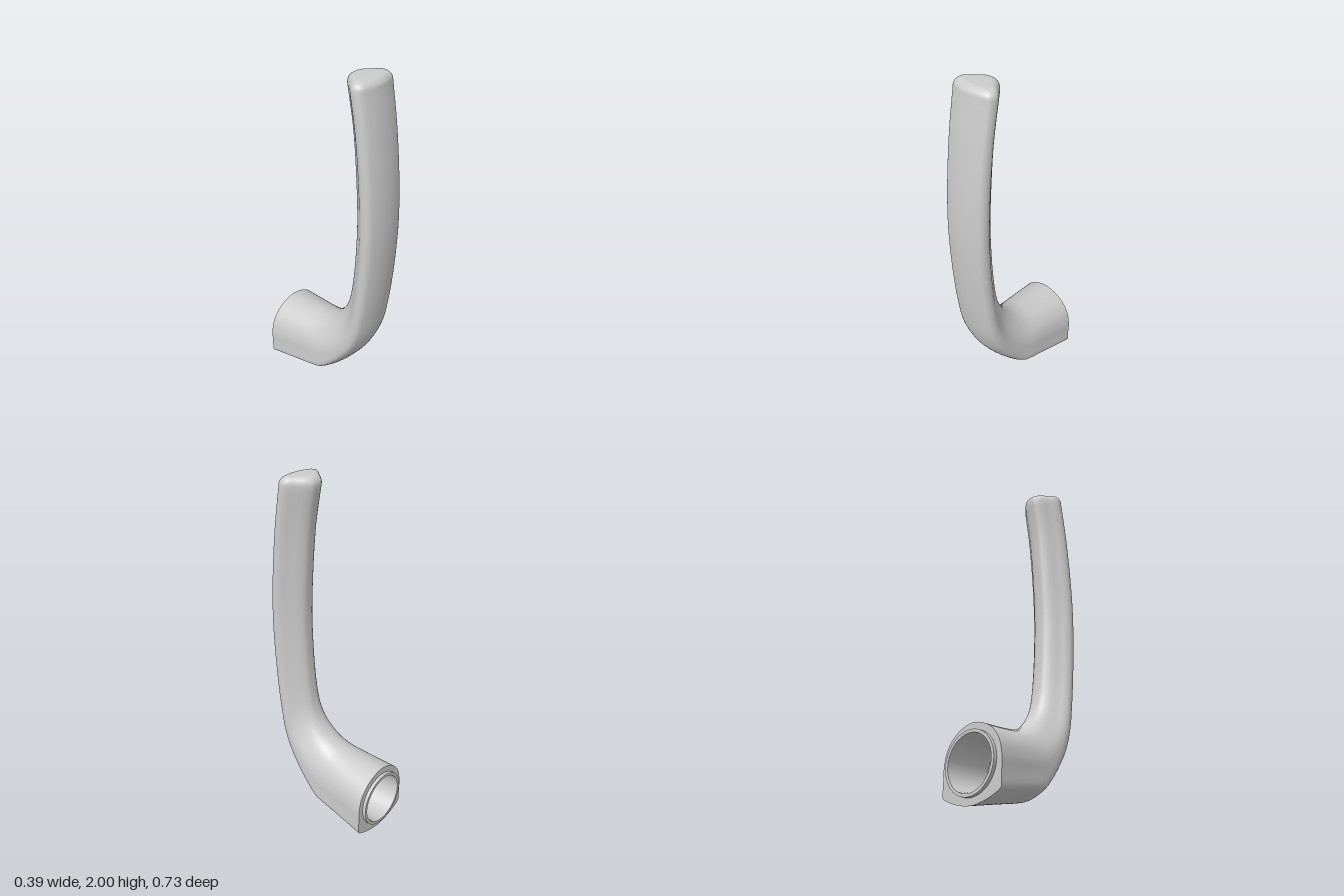
import * as THREE from 'three';
import { toCreasedNormals } from 'three/addons/utils/BufferGeometryUtils.js';

const V = (x, y, z = 0) => new THREE.Vector3(x, y, z);
const AROUND = 112, ALONG = 90, CAP = 8, CAP_RADIUS = 0.045;

// Half outlines [across, depth]: depth 0 is the inner/top edge, 1 the outer/bottom edge
const GRIP = [[0, 0], [0.2, 0.015], [0.42, 0.12], [0.73, 0.37], [0.93, 0.53],
  [1, 0.63], [0.985, 0.75], [0.9, 0.85], [0.5, 0.96], [0, 1]];
const SOCKET = [[0, 0], [0.38, 0.04], [0.71, 0.145], [0.92, 0.3], [1, 0.48],
  [1, 0.66], [1, 0.83], [0.98, 0.855], [0.6, 0.945], [0, 1]];

// Stations: outer z, y; inner z, y; half width; socket share of the outline
const STATIONS = [
  [-0.345, 0.002, -0.345, 0.405, 0.195, 1],
  [-0.17, 0.036, -0.2, 0.413, 0.18, 1],
  [0, 0.068, -0.1, 0.425, 0.168, 0.9],
  [0.04, 0.085, -0.04, 0.44, 0.163, 0.78],
  [0.09, 0.13, 0.02, 0.47, 0.158, 0.6],
  [0.16, 0.21, 0.075, 0.52, 0.152, 0.4],
  [0.24, 0.325, 0.115, 0.58, 0.147, 0.2],
  [0.295, 0.46, 0.142, 0.655, 0.142, 0.06],
  [0.325, 0.62, 0.157, 0.74, 0.139, 0],
  [0.345, 0.78, 0.168, 0.84, 0.137, 0],
  [0.36, 0.97, 0.178, 0.98, 0.136, 0],
  [0.367, 1.2, 0.184, 1.2, 0.136, 0],
  [0.355, 1.45, 0.172, 1.45, 0.135, 0],
  [0.325, 1.72, 0.147, 1.72, 0.134, 0],
  [0.287, 1.955, 0.103, 1.955, 0.133, 0],
];

// Closed unit outline blended between grip and socket
function outline(share) {
  const half = GRIP.map(([x, d], i) => V(
    THREE.MathUtils.lerp(x, SOCKET[i][0], share),
    THREE.MathUtils.lerp(d, SOCKET[i][1], share)));
  const other = half.slice(1, -1).reverse().map((p) => V(-p.x, p.y));
  const curve = new THREE.CatmullRomCurve3([...half, ...other], true, 'centripetal');
  return Array.from({ length: AROUND }, (_, i) => curve.getPoint(i / AROUND));
}

function section(outer, inner, halfWidth, share) {
  return outline(share).map((p) => {
    const q = inner.clone().lerp(outer, p.y);
    q.x = p.x * halfWidth + 0.008 * (1 - share);
    return q;
  });
}

function bodyRings() {
  const path = (f) => new THREE.CatmullRomCurve3(STATIONS.map(f), false, 'catmullrom', 0.5);
  const outerPath = path((s) => V(s[4], s[1], s[0]));
  const innerPath = path((s) => V(s[5], s[3], s[2]));
  const rings = [];
  for (let i = 0; i <= ALONG; i++) {
    const o = outerPath.getPoint(i / ALONG), n = innerPath.getPoint(i / ALONG);
    const share = THREE.MathUtils.clamp(n.x, 0, 1);
    rings.push(section(V(0, o.y, o.z), V(0, n.y, n.z), o.x, share));
  }
  // Rounded edge at the tip
  const [oz, y, iz, , w] = STATIONS[STATIONS.length - 1];
  for (let i = 1; i <= CAP; i++) {
    const a = (i / CAP) * Math.PI / 2;
    const inset = CAP_RADIUS * (1 - Math.cos(a)), h = y + CAP_RADIUS * Math.sin(a);
    rings.push(section(V(0, h, oz - inset), V(0, h, iz + inset), w - inset, 0));
  }
  return rings;
}

function loft(rings) {
  const position = rings.flat().flatMap((p) => [p.x, p.y, p.z]);
  const index = [];
  const last = rings.length - 1, centre = rings.length * AROUND;
  for (let i = 0; i <= last; i++) {
    for (let j = 0; j < AROUND; j++) {
      const a = i * AROUND + j, b = i * AROUND + (j + 1) % AROUND;
      if (i < last) index.push(a, a + AROUND, b, b, a + AROUND, b + AROUND);
      else index.push(a, centre, b);
    }
  }
  const tip = rings[last].reduce((s, p) => s.add(p), V(0, 0)).divideScalar(AROUND);
  position.push(tip.x, tip.y, tip.z);
  const geometry = new THREE.BufferGeometry();
  geometry.setAttribute('position', new THREE.Float32BufferAttribute(position, 3));
  geometry.setIndex(index);
  return toCreasedNormals(geometry, 0.7);
}

export function createModel() {
  const group = new THREE.Group();
  const material = new THREE.MeshStandardMaterial({ color: 0xcccccc });
  const add = (name, geometry) => {
    const mesh = new THREE.Mesh(geometry, material);
    mesh.name = name;
    group.add(mesh);
    return mesh;
  };
  const rings = bodyRings();
  const backZ = -0.345, axisY = 0.203;

  // Curved grip flowing into the socket
  add('handleBody', loft(rings));

  // Flat back face around the bore
  const face = new THREE.Shape(rings[0].map((p) => new THREE.Vector2(p.x, p.y)));
  face.holes.push(new THREE.Path().absarc(0, axisY, 0.155, 0, Math.PI * 2, true));
  add('socketFace', new THREE.ShapeGeometry(face, 48).rotateY(Math.PI)).position.z = backZ;

  // Protruding collar and blind bore
  const profile = [[0.163, 0], [0.163, 0.02], [0.146, 0.02], [0.13, -0.24], [0, -0.24]]
    .map(([r, h]) => new THREE.Vector2(r, h));
  const collar = toCreasedNormals(new THREE.LatheGeometry(profile, 64), 0.6).rotateX(-Math.PI / 2);
  add('collarAndBore', collar).position.set(0, axisY, backZ);

  return group;
}
